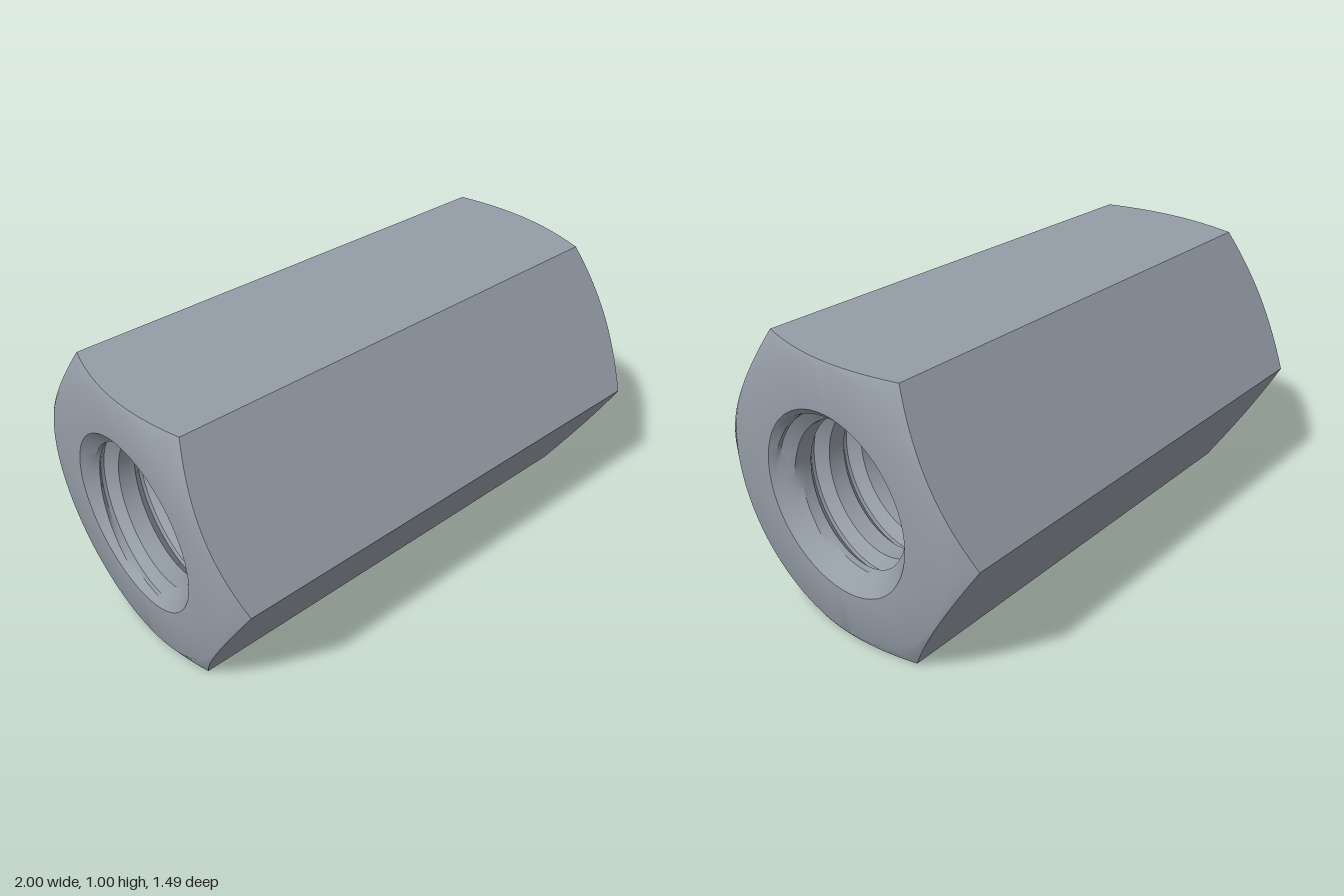
import * as THREE from 'three';
import { toCreasedNormals } from 'three/addons/utils/BufferGeometryUtils.js';

const HALF = 0.918;      // half length along the axis
const APOTHEM = 0.4975;  // centre to flat
const RIM = 0.32;        // countersink radius at the end faces
const FACE = 0.49;       // outer radius of the flat end face
const MINOR = 0.257, MAJOR = 0.297, PITCH = 0.14;
const SEG = 96;

// Skin rings of points around the x axis; at(row, phi) gives [x, radius]
function skin(rows, at, crease) {
  const pos = [];
  const point = (i, j) => {
    const phi = (j / SEG) * Math.PI * 2;
    const [x, r] = at(i, phi);
    return new THREE.Vector3(x, r * Math.cos(phi), r * Math.sin(phi));
  };
  const tri = (a, b, c) => {
    const area = b.clone().sub(a).cross(c.clone().sub(a)).length();
    if (area > 1e-9) for (const p of [a, b, c]) pos.push(p.x, p.y, p.z);
  };
  for (let i = 0; i < rows - 1; i++) {
    for (let j = 0; j < SEG; j++) {
      const a = point(i, j), b = point(i + 1, j);
      const c = point(i + 1, j + 1), d = point(i, j + 1);
      tri(a, b, c);
      tri(a, c, d);
    }
  }
  const geo = new THREE.BufferGeometry();
  geo.setAttribute('position', new THREE.Float32BufferAttribute(pos, 3));
  return toCreasedNormals(geo, crease);
}

// Hexagon radius with flats facing up and down
function hexRadius(phi) {
  const sector = Math.PI / 3;
  const local = ((phi + sector / 2) % sector) - sector / 2;
  return APOTHEM / Math.cos(local);
}

// Hexagonal shell with 30 degree conical chamfers at both ends
function bodyPoint(i, phi) {
  const side = i < 3 ? 1 : -1;
  const ring = i < 3 ? i : 5 - i;
  if (ring === 0) return [side * HALF, RIM];
  if (ring === 1) return [side * HALF, FACE];
  const r = hexRadius(phi);
  return [side * (HALF - (r - FACE) * Math.tan(Math.PI / 6)), r];
}

// Thread profile over one pitch: [fraction, radius]
const PROFILE = [
  [0, MINOR], [0.15, MINOR], [0.3, MINOR], [0.45, MINOR],
  [0.57, (MINOR + MAJOR) / 2], [0.68, MAJOR], [0.77, MAJOR], [0.89, (MINOR + MAJOR) / 2],
];
const TURNS = Math.ceil((2 * HALF) / PITCH) + 2;

// Right-hand helical thread, opened by a countersink at each end
function borePoint(i, phi) {
  const [t, r] = PROFILE[i % PROFILE.length];
  const turn = Math.floor(i / PROFILE.length);
  const raw = -HALF + (turn + t - 1 + phi / (Math.PI * 2)) * PITCH;
  const x = THREE.MathUtils.clamp(raw, -HALF, HALF);
  return [x, Math.max(r, RIM - (HALF - Math.abs(x)))];
}

export function createModel() {
  const steel = new THREE.MeshStandardMaterial({ color: 0x949ca6 });
  steel.name = 'steel';

  const group = new THREE.Group();
  group.name = 'couplingNut';

  const body = new THREE.Mesh(skin(6, bodyPoint, 0.65), steel);
  body.name = 'hexBody';

  const bore = new THREE.Mesh(skin(TURNS * PROFILE.length + 1, borePoint, 0.5), steel);
  bore.name = 'threadedBore';

  // Lying on one flat, turned slightly about the vertical
  const nut = new THREE.Group();
  nut.name = 'nut';
  nut.add(body, bore);
  nut.position.y = APOTHEM;
  nut.rotation.y = THREE.MathUtils.degToRad(-12);
  group.add(nut);
  return group;
}
